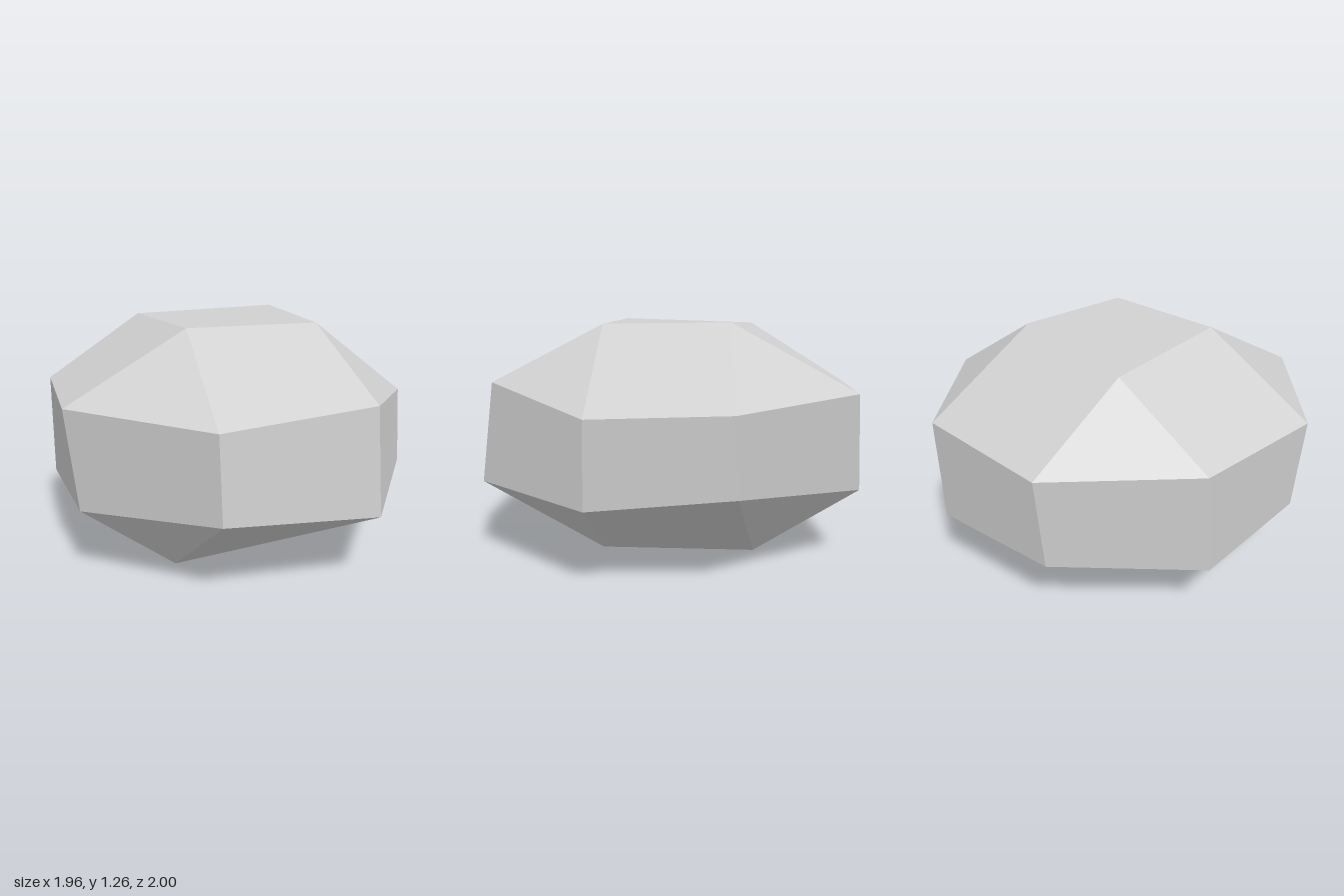
import * as THREE from 'three';

// Corners run counter-clockwise seen from above, starting at the front on the -x side.
const topCap = [[-0.35, 1.26, 0.32], [0.36, 1.25, 0.34], [0.39, 1.26, -0.32], [-0.4, 1.235, -0.43]];
const upperRing = [
  [-0.42, 0.91, 0.955], [0.39, 0.945, 0.93], [0.9, 0.84, 0.34], [0.98, 0.88, -0.355],
  [0.39, 0.905, -0.97], [-0.39, 0.9, -0.965], [-0.93, 0.905, -0.4], [-0.98, 0.915, 0.33],
];
const lowerRing = [
  [-0.39, 0.45, 0.92], [0.39, 0.41, 1.0], [0.93, 0.415, 0.34], [0.885, 0.475, -0.37],
  [0.32, 0.39, -1.0], [-0.37, 0.38, -0.905], [-0.94, 0.363, -0.36], [-0.93, 0.39, 0.355],
];
const bottomCap = [[-0.44, 0, 0.34], [0.39, 0.06, 0.35], [0.37, 0.06, -0.45], [-0.4, 0.1, -0.43]];

export function createModel() {
  const positions = [];
  const normals = [];

  // Adds one facet, with a single normal at all of its corners.
  const facet = (corners, p, q) => {
    const normal = p.cross(q).normalize();
    corners.forEach((corner) => {
      positions.push(...corner);
      normals.push(...normal.toArray());
    });
  };
  const span = (from, to) => new THREE.Vector3(...to).sub(new THREE.Vector3(...from));
  const tri = (a, b, c) => facet([a, b, c], span(a, b), span(a, c));
  const quad = (a, b, c, d) => facet([a, b, d, b, c, d], span(a, c), span(b, d));

  // Flat top and underside
  const [t0, t1, t2, t3] = topCap;
  const [b0, b1, b2, b3] = bottomCap;
  quad(t3, t0, t1, t2);
  quad(b2, b1, b0, b3);

  // Belt of eight upright faces
  for (let i = 0; i < 8; i++) {
    const j = (i + 1) % 8;
    quad(lowerRing[i], lowerRing[j], upperRing[j], upperRing[i]);
  }

  // Sloping bevels and the corner triangles between them
  for (let c = 0; c < 4; c++) {
    const n = (c + 1) % 4, i = 2 * c, j = i + 1, k = (i + 2) % 8;
    quad(upperRing[i], upperRing[j], topCap[n], topCap[c]);
    tri(upperRing[j], upperRing[k], topCap[n]);
    quad(lowerRing[i], bottomCap[c], bottomCap[n], lowerRing[j]);
    tri(lowerRing[k], lowerRing[j], bottomCap[n]);
  }

  const geometry = new THREE.BufferGeometry();
  geometry.setAttribute('position', new THREE.Float32BufferAttribute(positions, 3));
  geometry.setAttribute('normal', new THREE.Float32BufferAttribute(normals, 3));

  const stone = new THREE.MeshStandardMaterial({ color: 0xd1d1d1 });
  stone.name = 'pale stone grey';

  const rock = new THREE.Mesh(geometry, stone);
  rock.name = 'rock';

  const group = new THREE.Group();
  group.name = 'boulder';
  group.add(rock);
  return group;
}
